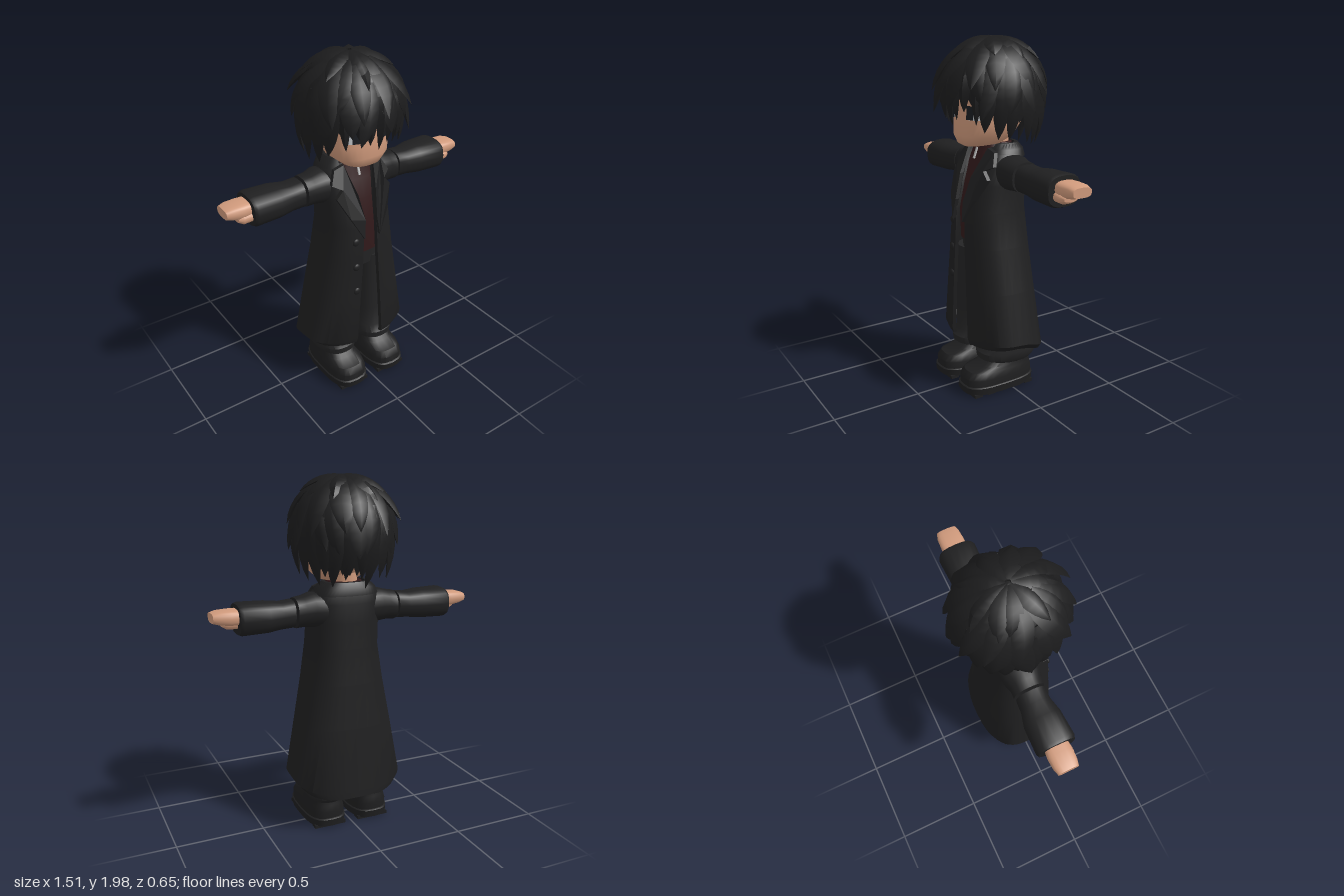
import * as THREE from 'three';
import { toCreasedNormals, mergeGeometries } from 'three/addons/utils/BufferGeometryUtils.js';

const mat = (name, color, side = THREE.FrontSide) => new THREE.MeshStandardMaterial({ name, color, side });
const PI = Math.PI;

// Skin a stack of rings (listed bottom to top, each running anticlockwise from above).
function skin(rings, caps = true, crease = 0.7) {
  const n = rings[0].length, pts = rings.flat(), index = [];
  for (let r = 0; r < rings.length - 1; r++) for (let i = 0; i < n; i++) {
    const a = r * n + i, b = r * n + (i + 1) % n;
    index.push(a, b, b + n, a, b + n, a + n);
  }
  if (caps) [0, rings.length - 1].forEach((r) => {
    const c = new THREE.Vector3();
    rings[r].forEach((p) => c.addScaledVector(p, 1 / n));
    pts.push(c);
    for (let i = 0; i < n; i++) {
      const a = r * n + i, b = r * n + (i + 1) % n, m = pts.length - 1;
      r ? index.push(a, b, m) : index.push(b, a, m);
    }
  });
  const g = new THREE.BufferGeometry().setFromPoints(pts);
  g.setIndex(index);
  return toCreasedNormals(g, crease);
}

// Point on a rounded-square outline; a = 0 is the front, growing towards +x.
function outline(a, y, rx, zb, zf, n, cx = 0, inset = 0) {
  const f = (v) => Math.sign(v) * Math.abs(v) ** (2 / n);
  return new THREE.Vector3(cx + (rx - inset) * f(Math.sin(a)), y, (zb + zf) / 2 + ((zf - zb) / 2 - inset) * f(Math.cos(a)));
}

// Closed body from rows of [y, halfWidth, zBack, zFront, centreX].
const loft = (rows, n = 2.5, seg = 24, crease = 0.7) => skin(rows.map(([y, rx, zb, zf, cx]) =>
  Array.from({ length: seg }, (_, i) => outline(i / seg * 2 * PI, y, rx, zb, zf, n, cx))), true, crease);

// Open-fronted shell from rows of [y, halfWidth, zBack, zFront, gap].
function shell(rows, thick, n = 2.6, seg = 36) {
  const ring = ([y, rx, zb, zf, gap], t0, t1) => {
    const a0 = Math.asin((gap / rx) ** (n / 2)), pts = [];
    for (const inner of [0, 1]) for (let i = 0; i <= seg; i++) {
      const a = a0 + (2 * PI - 2 * a0) * (inner ? seg - i : i) / seg;
      const p = outline(a, y, rx, zb, zf, n, 0, inner ? t1 : t0);
      if (y < 0.4) p.y -= 0.075 * THREE.MathUtils.clamp((-p.z - 0.02) / 0.2, 0, 1);
      pts.push(p);
    }
    return pts;
  };
  const mid = thick / 2;
  return skin([ring(rows[0], mid, mid), ...rows.map((r) => ring(r, 0, thick)), ring(rows.at(-1), mid, mid)], false);
}

// Front surface depth of a row table at (x, y).
function frontZ(rows, x, y, n) {
  let i = 0;
  while (i < rows.length - 2 && rows[i + 1][0] < y) i++;
  const t = THREE.MathUtils.clamp((y - rows[i][0]) / (rows[i + 1][0] - rows[i][0]), 0, 1);
  const [, rx, zb, zf] = rows[i].map((v, k) => v + (rows[i + 1][k] - v) * t);
  const u = Math.min(Math.abs(x) / rx, 0.97);
  return (zb + zf) / 2 + (zf - zb) / 2 * (1 - u ** n) ** (1 / n);
}

function drape(g, zAt) {
  const p = g.attributes.position;
  for (let i = 0; i < p.count; i++) p.setZ(i, p.getZ(i) + zAt(p.getX(i), p.getY(i)));
  g.computeVertexNormals();
  return g;
}

const COAT = [[0.275, 0.3, -0.235, 0.212, 0.088], [0.31, 0.333, -0.232, 0.22, 0.086], [0.6, 0.277, -0.197, 0.217, 0.068],
  [0.85, 0.23, -0.175, 0.213, 0.05], [1.05, 0.2, -0.16, 0.207, 0.042], [1.2, 0.2, -0.155, 0.168, 0.055],
  [1.3, 0.2, -0.15, 0.13, 0.075], [1.36, 0.18, -0.14, 0.1, 0.088], [1.395, 0.13, -0.13, 0.08, 0.09]];
const HEAD = [[1.4, 0.05, 0.02, 0.17], [1.415, 0.11, -0.03, 0.195], [1.46, 0.165, -0.09, 0.205], [1.53, 0.183, -0.14, 0.2],
  [1.65, 0.19, -0.17, 0.195], [1.78, 0.18, -0.17, 0.18], [1.88, 0.1, -0.1, 0.1]];

// Hair surface: a dome on top that hangs straight below its equator.
function hairPoint(az, s, lift) {
  const d = Math.max(0, s - PI / 2), r = (d ? 1 - 0.2 * d * d : Math.sin(s)) * (1 + lift);
  return new THREE.Vector3(0.255 * r * Math.sin(az), 1.7 + 0.265 * (d ? -d : Math.cos(s) * (1 + lift)), 0.265 * r * Math.cos(az));
}

// One pointed lock from s0 to s1, curling sideways and flicking out at its tip.
function lock(az, s0, s1, width, flick, twist) {
  const rings = [];
  for (let k = 7; k >= 0; k--) {
    const t = k / 7, a = az + twist * t * t, s = s0 + (s1 - s0) * t, sn = Math.min(s, 1.9);
    const c = hairPoint(a, s, 0.015 + flick * t ** 2.2);
    const out = new THREE.Vector3(Math.sin(sn) * Math.sin(a), Math.cos(sn), Math.sin(sn) * Math.cos(a));
    const side = new THREE.Vector3(Math.cos(a), 0, -Math.sin(a));
    const w = width * (0.55 + 0.9 * t) * (1 - t ** 2.2) + 0.001, h = 0.035 * (1 - t ** 2) * (0.3 + t) + 0.001;
    rings.push([[out, h], [side, w], [out, -h], [side, -w]].map(([v, m]) => c.clone().addScaledVector(v, m)));
  }
  return skin(rings, true, 1.0);
}

export function createModel() {
  const model = new THREE.Group();
  const hairMat = mat('hair black', 0x1c1c1d, THREE.DoubleSide), coatMat = mat('coat black', 0x1f1f20, THREE.DoubleSide);
  const skinMat = mat('skin', 0xd09a7c), shirtMat = mat('dark red', 0x321a1b), pantsMat = mat('trouser grey', 0x242425);
  const bootMat = mat('boot black', 0x1e1e1f), whiteMat = mat('eye white', 0xc4c8cc), eyeMat = mat('eye dark', 0x1a1d22);
  const zipMat = mat('zip silver', 0xb8b8b8);
  const add = (name, g, m, parent = model) => {
    const mesh = new THREE.Mesh(g, m);
    mesh.name = name;
    parent.add(mesh);
    return mesh;
  };

  // Head and neck
  add('head', loft(HEAD, 2.5, 32, 0.9), skinMat);
  add('neck', loft([[1.33, 0.07, -0.1, 0.05], [1.46, 0.07, -0.1, 0.05]], 2), skinMat);
  for (const s of [-1, 1]) {
    const patch = (name, w, h, x, y, off, m) => {
      const g = new THREE.PlaneGeometry(w, h, 6, 4).translate(s * x, y, 0);
      add(name, drape(g, (px, py) => frontZ(HEAD, px, py, 2.5) + off), m);
    };
    patch('eyeWhite', 0.085, 0.065, 0.103, 1.583, 0.003, whiteMat);
    patch('iris', 0.045, 0.062, 0.085, 1.583, 0.006, eyeMat);
    patch('upperLash', 0.1, 0.014, 0.103, 1.618, 0.008, eyeMat);
  }

  // Hair: a cap with a hairline that drops towards the back, then layered locks
  const hair = new THREE.Group();
  hair.name = 'hair';
  model.add(hair);
  const cap = new THREE.SphereGeometry(1, 36, 14);
  const cp = cap.attributes.position, uv = cap.attributes.uv;
  for (let i = 0; i < cp.count; i++) {
    const az = uv.getX(i) * 2 * PI, back = (1 - Math.cos(az)) / 2;
    const p = hairPoint(az, (1 - uv.getY(i)) * (1.72 + 0.75 * back ** 0.8), 0);
    cp.setXYZ(i, p.x, p.y, p.z);
  }
  cap.computeVertexNormals();
  add('hairCap', cap, hairMat, hair);
  let seed = 7;
  const rnd = (lo, hi) => lo + (hi - lo) * ((seed = (seed * 16807) % 2147483647) / 2147483647);
  const layer = (name, count, s0, s1, width, flick) => add(name, mergeGeometries(Array.from({ length: count }, (_, i) =>
    lock((i + rnd(0.2, 0.8)) / count * 2 * PI, s0, s1 + rnd(-0.15, 0.15), width * rnd(0.85, 1.15), flick * rnd(0.5, 1.2), rnd(-0.25, 0.25)))), hairMat, hair);
  layer('crownLocks', 9, 0.05, 0.95, 0.06, 0.12);
  layer('upperLocks', 13, 0.4, 1.55, 0.07, 0.22);
  layer('middleLocks', 16, 0.9, 1.95, 0.065, 0.24);
  const fringe = [];
  for (const [az, tip, w] of [[-0.72, 2.2, 0.035], [-0.45, 1.95, 0.045], [-0.2, 2.1, 0.045], [0.04, 2.24, 0.04], [0.24, 2.12, 0.04],
    [0.47, 1.95, 0.045], [0.73, 2.2, 0.035]]) fringe.push(lock(az, 1, tip, w, 0.03, -az * 0.05));
  for (let i = 0; i < 17; i++) {
    const az = 0.95 + i / 16 * (2 * PI - 1.9), back = (1 - Math.cos(az)) / 2;
    fringe.push(lock(az, 1.1, 2.3 + 0.3 * back + rnd(-0.1, 0.16), 0.058, rnd(0.05, 0.2), rnd(-0.12, 0.12)));
  }
  add('fringeLocks', mergeGeometries(fringe), hairMat, hair);

  // Shirt with high collar and zip
  add('shirt', loft([[0.86, 0.17, -0.12, 0.16], [1.05, 0.165, -0.12, 0.17], [1.2, 0.165, -0.12, 0.145], [1.3, 0.16, -0.12, 0.115],
    [1.36, 0.125, -0.11, 0.092], [1.415, 0.095, -0.105, 0.08]]), shirtMat);
  const zip = add('zip', new THREE.BoxGeometry(0.012, 0.065, 0.008), zipMat);
  zip.position.set(-0.008, 1.355, 0.1);
  zip.rotation.x = -0.35;

  // Long coat, collar, lapels and buttons
  add('coat', shell(COAT, 0.02), coatMat);
  add('coatCollar', shell([[1.345, 0.185, -0.155, 0.1, 0.11], [1.385, 0.165, -0.15, 0.08, 0.105], [1.415, 0.13, -0.13, 0.06, 0.1]], 0.02), coatMat);
  const lapel = [[0.095, 1.395], [0.15, 1.375], [0.185, 1.305], [0.135, 1.28], [0.175, 1.235], [0.12, 1.12], [0.05, 0.99], [0.038, 1.1], [0.058, 1.24]];
  for (const s of [-1, 1]) {
    const shape = new THREE.Shape(lapel.map(([x, y]) => new THREE.Vector2(s * x, y)));
    const g = new THREE.ExtrudeGeometry(shape, { depth: 0.022, bevelEnabled: false });
    add('lapel', drape(g, (x, y) => frontZ(COAT, x * 0.85, y, 2.6) - 0.002), coatMat);
  }
  for (const y of [0.97, 0.81, 0.65]) {
    const b = add('button', new THREE.SphereGeometry(0.022, 14, 8), coatMat);
    b.scale.z = 0.5;
    b.position.set(-0.092, y, frontZ(COAT, 0.092, y, 2.6));
  }

  for (const s of [-1, 1]) {
    // Arm parts are lofted upwards, then turned outwards; rows are [x, halfHeight, zBack, zFront, centreY]
    const arm = (name, rows, m, n) => add(name, loft(rows.map(([x, h, zb, zf, cy]) => [x, h, zb, zf, -s * cy]), n, 20).rotateZ(-s * PI / 2), m);
    arm('shoulder', [[0.1, 0.1, -0.13, 0.09, 1.26], [0.2, 0.095, -0.125, 0.085, 1.265], [0.25, 0.085, -0.11, 0.07, 1.26], [0.298, 0.083, -0.11, 0.065, 1.255]], coatMat, 2.3);
    arm('sleeve', [[0.312, 0.076, -0.105, 0.06, 1.255], [0.38, 0.074, -0.11, 0.06, 1.25], [0.46, 0.083, -0.132, 0.078, 1.25],
      [0.605, 0.087, -0.137, 0.085, 1.25], [0.622, 0.08, -0.128, 0.077, 1.25]], coatMat, 2.6);
    arm('fingers', [[0.6, 0.042, -0.092, 0.035, 1.265], [0.66, 0.042, -0.098, 0.042, 1.265], [0.72, 0.036, -0.095, 0.038, 1.268], [0.755, 0.026, -0.085, 0.03, 1.268]], skinMat, 3);
    arm('thumb', [[0.6, 0.032, -0.07, 0.045, 1.23], [0.67, 0.03, -0.065, 0.05, 1.228], [0.695, 0.016, -0.05, 0.035, 1.228]], skinMat, 2.5);

    // Baggy trouser leg gathered over the boot
    const x = s * 0.135;
    add('trouserLeg', loft([[0.16, 0.095, -0.16, 0.11, x], [0.19, 0.118, -0.185, 0.165, x], [0.23, 0.125, -0.18, 0.17, x], [0.27, 0.118, -0.16, 0.14, x],
      [0.4, 0.112, -0.14, 0.135, x], [0.6, 0.112, -0.13, 0.14, x * 0.9], [0.8, 0.105, -0.13, 0.15, x * 0.75]]), pantsMat);

    // Boot with a thick ridged sole
    add('boot', loft([[0.04, 0.113, -0.155, 0.275, x], [0.1, 0.115, -0.158, 0.275, x], [0.135, 0.105, -0.15, 0.25, x], [0.155, 0.098, -0.145, 0.17, x],
      [0.215, 0.09, -0.135, 0.11, x]], 3), bootMat);
    add('sole', loft([[0.015, 0.117, -0.163, 0.28, x], [0.055, 0.12, -0.167, 0.285, x], [0.06, 0.114, -0.16, 0.278, x]], 3), bootMat);
    for (let i = 0; i < 5; i++) add('tread', new THREE.BoxGeometry(0.19, 0.02, 0.05).translate(x, 0.01, -0.11 + i * 0.085), bootMat);
  }
  add('trouserHips', loft([[0.76, 0.17, -0.13, 0.14], [0.88, 0.172, -0.13, 0.155]]), pantsMat);
  return model;
}
